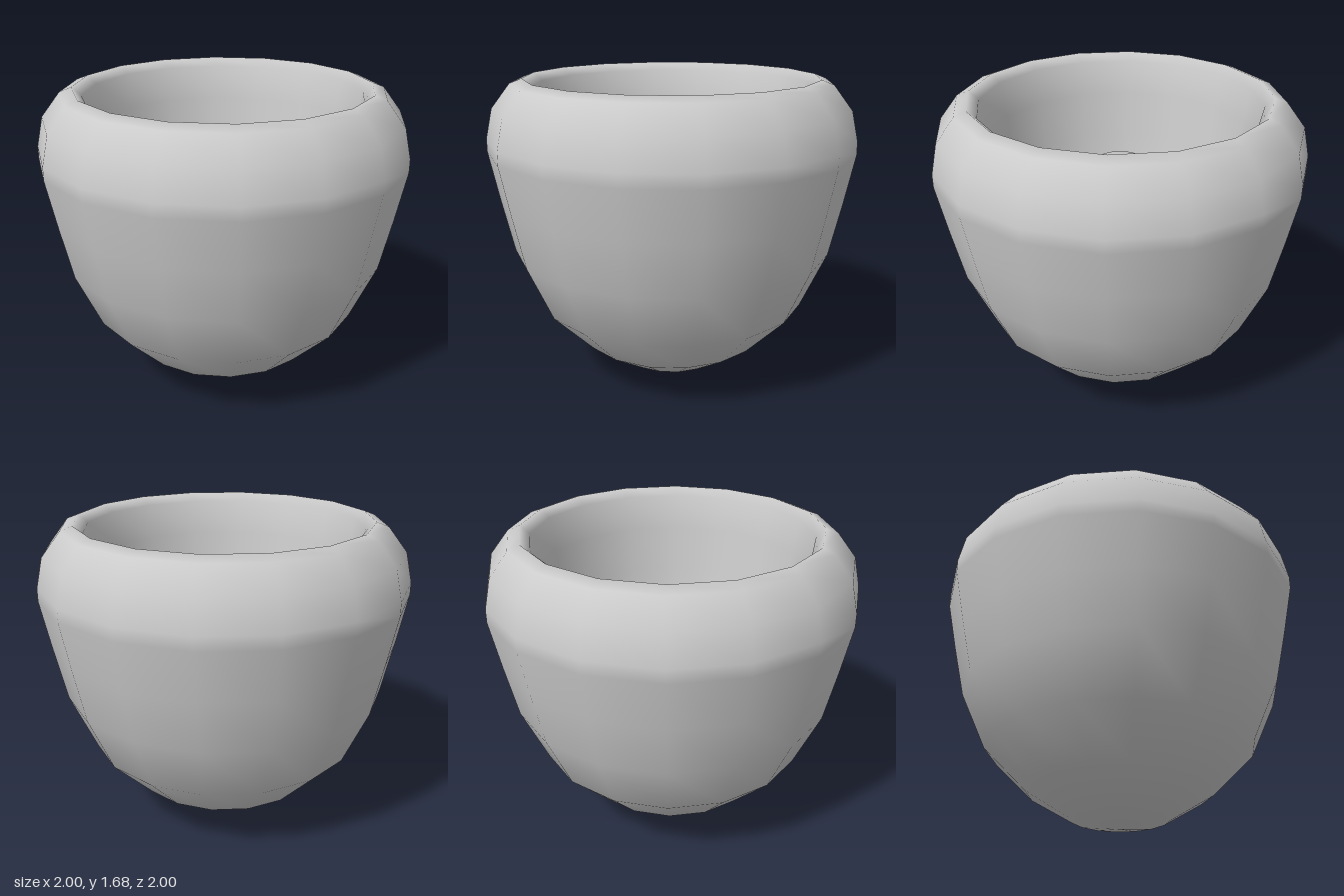
import * as THREE from 'three';
import { mergeVertices } from 'three/addons/utils/BufferGeometryUtils.js';

// Revolve a profile and weld it, so the shading is smooth at the poles too
function revolve(points) {
  const geometry = new THREE.LatheGeometry(points.map(([r, y]) => new THREE.Vector2(r, y)), 16);
  geometry.deleteAttribute('normal');
  geometry.deleteAttribute('uv');
  const welded = mergeVertices(geometry, 1e-4);
  welded.computeVertexNormals();
  return welded;
}

export function createModel() {
  const group = new THREE.Group();
  const material = new THREE.MeshStandardMaterial({ color: 0xcccccc });

  const add = (name, geometry, y = 0) => {
    const mesh = new THREE.Mesh(geometry, material);
    mesh.name = name;
    mesh.position.y = y;
    group.add(mesh);
  };

  // Thick cup: up the outside, over the rounded rim, down the sloping inside
  add('cup', revolve([
    [0, 0], [0.27, 0.055], [0.51, 0.2], [0.74, 0.43], [0.88, 0.74],
    [0.945, 1.03], [1, 1.3], [1, 1.37], [0.965, 1.53], [0.865, 1.66],
    [0.8, 1.685], [0.75, 1.64], [0.72, 1.45], [0.685, 1.2],
    [0.64, 0.92], [0.57, 0.65], [0.46, 0.43], [0.31, 0.27], [0.15, 0.19], [0, 0.17],
  ]));

  // Egg-shaped core standing on the floor of the cup
  const core = new THREE.SphereGeometry(0.43, 16, 10);
  core.scale(1, 1.35, 1);
  add('core', core, 0.76);

  return group;
}
